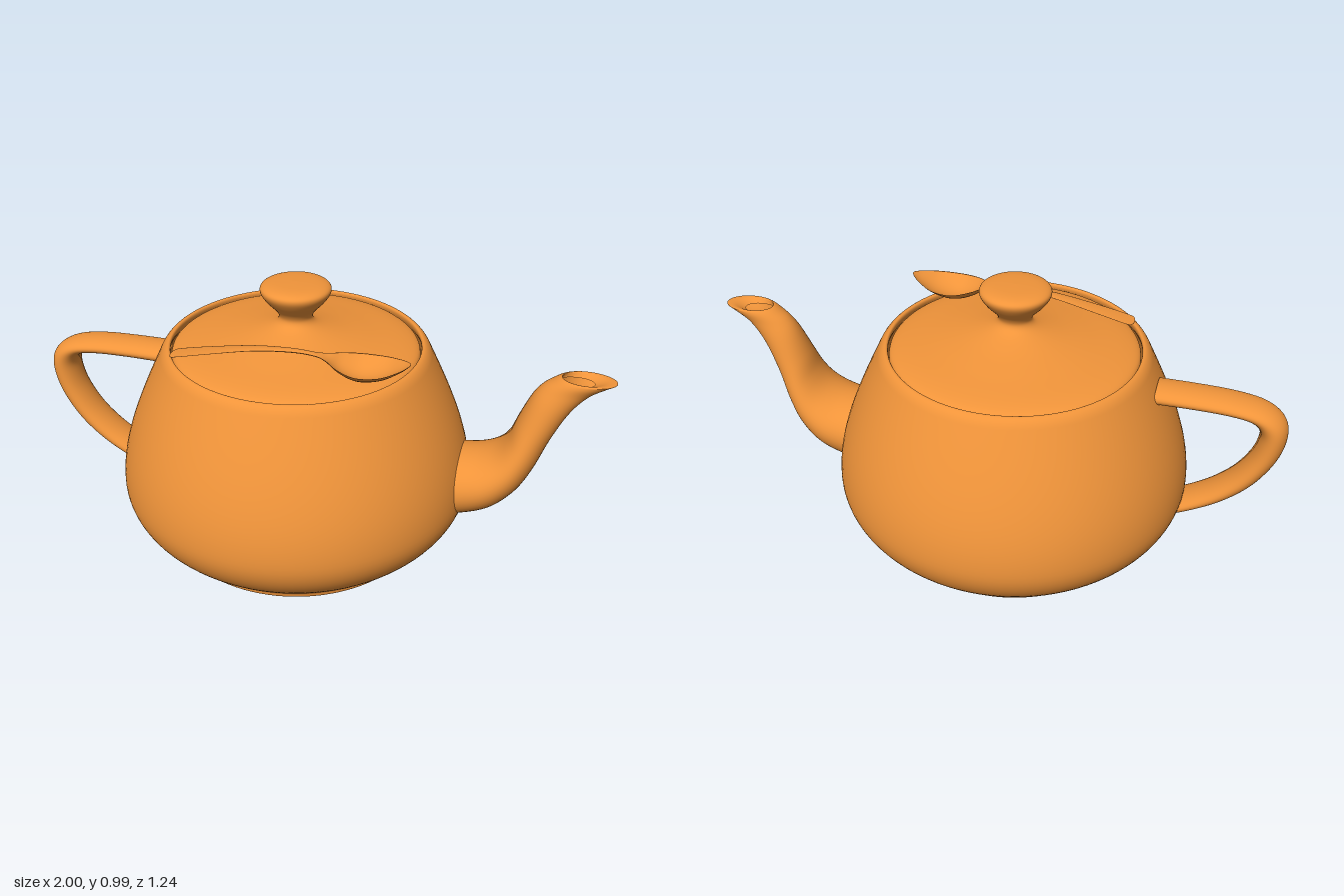
import * as THREE from 'three';

const material = new THREE.MeshStandardMaterial({ color: 0xf0943a, side: THREE.DoubleSide });
const AXIS_X = -0.07; // the pot sits left of centre to balance the spout

function part(name, geometry) {
  const mesh = new THREE.Mesh(geometry, material);
  mesh.name = name;
  return mesh;
}

// Skin a surface through rings of points, each ring closed on itself
function loft(rings) {
  const n = rings[0].length;
  const index = [];
  for (let i = 0; i < rings.length - 1; i++) {
    for (let j = 0; j < n; j++) {
      const a = i * n + j, b = i * n + (j + 1) % n;
      index.push(a, a + n, b, b, a + n, b + n);
    }
  }
  const geometry = new THREE.BufferGeometry();
  geometry.setAttribute('position', new THREE.Float32BufferAttribute(rings.flat(2), 3));
  geometry.setIndex(index);
  geometry.computeVertexNormals();
  return geometry;
}

// Smoothly resample rows of numbers
function resample(rows, steps) {
  const columns = rows[0].map((_, k) =>
    new THREE.SplineCurve(rows.map((row, i) => new THREE.Vector2(i, row[k]))));
  return Array.from({ length: steps + 1 }, (_, i) => columns.map(c => c.getPoint(i / steps).y));
}

function ring(count, point) {
  return Array.from({ length: count }, (_, j) => point(j / count * Math.PI * 2));
}

// Oval tube; each row is outer x, outer y, inner x, inner y, half width
function ovalTube(rows, steps) {
  return loft(resample(rows, steps).map(([ox, oy, ix, iy, w]) => ring(48, a => [
    (ox + ix) / 2 + (ox - ix) / 2 * Math.cos(a),
    (oy + iy) / 2 + (oy - iy) / 2 * Math.cos(a),
    w * Math.sin(a),
  ])));
}

// Body outline: four Bezier arcs from the underside to the inside of the rim
function createBody() {
  const s = 0.31;
  const arcs = [
    [0, 0.01, 1.425, 0.01, 1.5, 0.075, 1.5, 0.15],
    [1.5, 0.15, 1.5, 0.225, 2, 0.45, 2, 0.9],
    [2, 0.9, 2, 1.35, 1.75, 1.875, 1.5, 2.4],
    [1.5, 2.4, 1.4375, 2.535, 1.3375, 2.535, 1.4, 2.4],
  ];
  const profile = [];
  arcs.forEach((p, k) => {
    const v = [0, 2, 4, 6].map(i => new THREE.Vector2(p[i] * s, p[i + 1] * s));
    profile.push(...new THREE.CubicBezierCurve(...v).getPoints(20).slice(k ? 1 : 0));
  });
  return part('body', new THREE.LatheGeometry(profile, 96));
}

function createLid() {
  const points = [
    [0.425, 0.735], [0.418, 0.762], [0.37, 0.78], [0.26, 0.799], [0.16, 0.819],
    [0.085, 0.842], [0.058, 0.865], [0.065, 0.893], [0.1, 0.932], [0.119, 0.963],
    [0.112, 0.982], [0.075, 0.992], [0, 0.995],
  ].map(p => new THREE.Vector2(...p));
  return part('lidWithKnob', new THREE.LatheGeometry(new THREE.SplineCurve(points).getPoints(72), 96));
}

function createHandle() {
  return part('handle', ovalTube([
    [-0.56, 0.70, -0.56, 0.637, 0.067],
    [-0.68, 0.70, -0.68, 0.64, 0.067],
    [-0.81, 0.695, -0.80, 0.638, 0.067],
    [-0.92, 0.675, -0.87, 0.627, 0.067],
    [-0.985, 0.63, -0.902, 0.598, 0.067],
    [-1.0, 0.56, -0.909, 0.555, 0.067],
    [-0.975, 0.465, -0.89, 0.48, 0.067],
    [-0.91, 0.36, -0.84, 0.395, 0.067],
    [-0.81, 0.27, -0.765, 0.32, 0.067],
    [-0.68, 0.197, -0.67, 0.258, 0.067],
    [-0.63, 0.19, -0.62, 0.245, 0.067],
  ], 60));
}

// Spout, ending in a lip that turns inward around the open mouth
function createSpout() {
  return part('spout', ovalTube([
    [0.46, 0.205, 0.46, 0.44, 0.15],
    [0.53, 0.21, 0.53, 0.445, 0.152],
    [0.64, 0.255, 0.59, 0.455, 0.15],
    [0.72, 0.33, 0.64, 0.483, 0.135],
    [0.77, 0.42, 0.675, 0.53, 0.115],
    [0.815, 0.54, 0.70, 0.60, 0.09],
    [0.865, 0.645, 0.735, 0.685, 0.07],
    [0.92, 0.715, 0.765, 0.73, 0.058],
    [0.98, 0.757, 0.80, 0.758, 0.058],
    [1.0, 0.768, 0.82, 0.77, 0.055],
    [0.97, 0.768, 0.825, 0.768, 0.045],
    [0.93, 0.755, 0.812, 0.752, 0.035],
  ], 77));
}

// Spoon resting on the lid; rows are x, edge height, half width, depth below, depth of hollow
function createSpoon() {
  const rows = resample([
    [-0.437, 0.788, 0.002, 0.002, 0],
    [-0.432, 0.789, 0.024, 0.006, 0],
    [-0.41, 0.793, 0.034, 0.008, -0.001],
    [-0.30, 0.817, 0.031, 0.008, -0.002],
    [-0.15, 0.846, 0.022, 0.008, -0.003],
    [-0.02, 0.858, 0.015, 0.008, -0.003],
    [0.06, 0.855, 0.014, 0.008, -0.002],
    [0.10, 0.85, 0.028, 0.016, 0.006],
    [0.14, 0.843, 0.058, 0.035, 0.028],
    [0.19, 0.836, 0.081, 0.046, 0.04],
    [0.235, 0.835, 0.085, 0.046, 0.04],
    [0.29, 0.84, 0.073, 0.036, 0.03],
    [0.34, 0.851, 0.041, 0.018, 0.013],
    [0.364, 0.858, 0.015, 0.006, 0.003],
    [0.37, 0.86, 0.001, 0.001, 0],
  ], 84);
  const spoon = part('spoon', loft(rows.map(([x, y, w, below, hollow]) => ring(32, a => {
    const u = Math.sin(a);
    return [x, y - (Math.cos(a) > 0 ? below : hollow) * (1 - u * u), w * u];
  }))));
  spoon.position.z = 0.224;
  return spoon;
}

export function createModel() {
  const model = new THREE.Group();
  model.name = 'teapot';
  const body = createBody(), lid = createLid();
  body.position.x = lid.position.x = AXIS_X;
  model.add(body, lid, createHandle(), createSpout(), createSpoon());
  return model;
}
